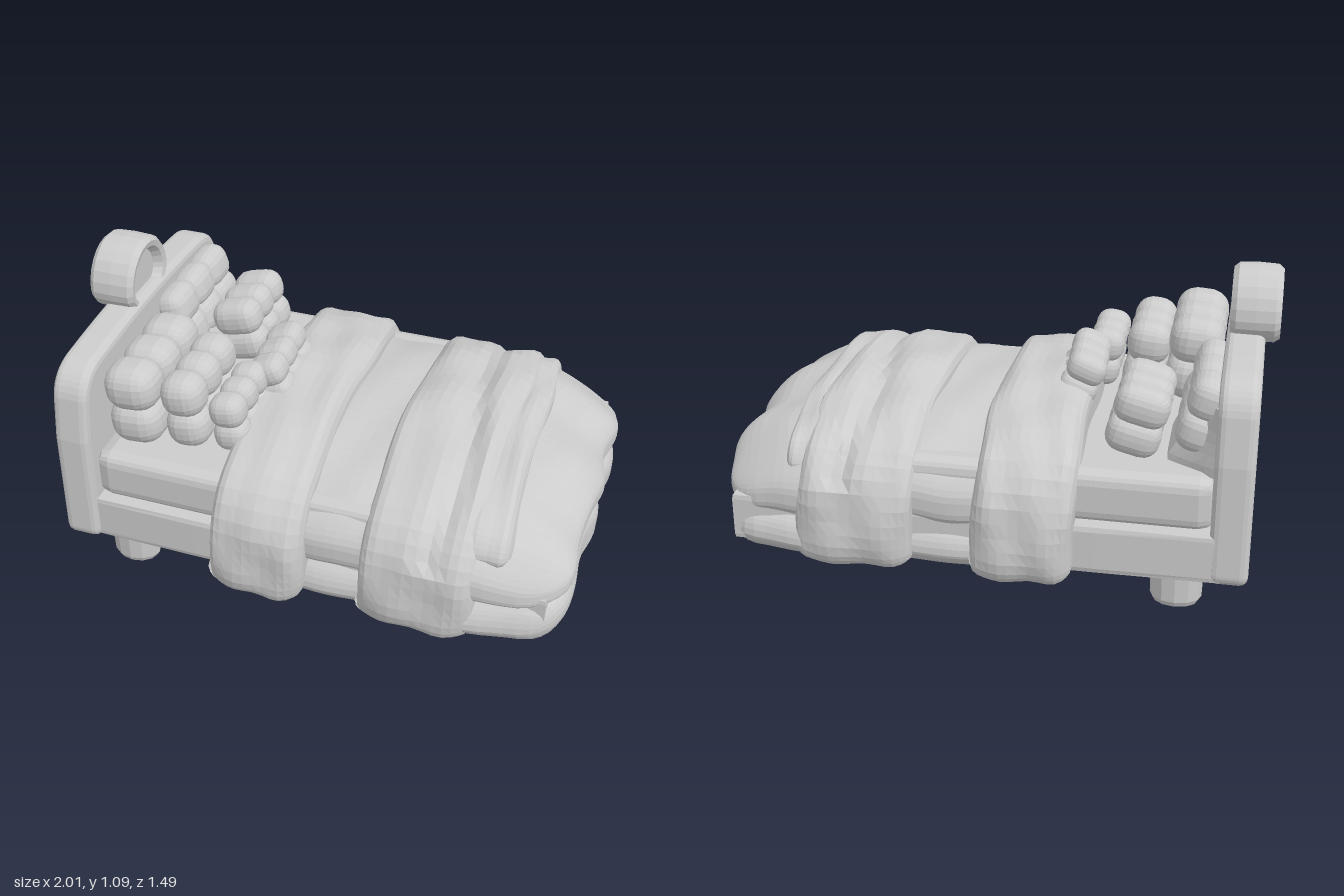
import * as THREE from 'three';
import { mergeVertices } from 'three/addons/utils/BufferGeometryUtils.js';

const grey = new THREE.MeshStandardMaterial({ color: 0xcccccc, flatShading: true });
const wave = (a, b) => Math.sin(a * 23 + b * 7) * 0.5 + Math.sin(a * 9 - b * 17 + 1) * 0.5;

function add(parent, name, geometry) {
  const mesh = new THREE.Mesh(geometry, grey);
  mesh.name = name;
  parent.add(mesh);
  return mesh;
}

// Moves every vertex of a geometry by a rule.
function reshape(g, rule) {
  const pos = g.attributes.position, p = new THREE.Vector3();
  for (let i = 0; i < pos.count; i++) {
    rule(p.fromBufferAttribute(pos, i));
    pos.setXYZ(i, p.x, p.y, p.z);
  }
  g.computeVertexNormals();
  return g;
}

// Rounded box between two corners; an optional rule then moves every vertex.
function softBox([x0, y0, z0], [x1, y1, z1], r, seg, rule = () => {}) {
  const half = new THREE.Vector3(x1 - x0, y1 - y0, z1 - z0).multiplyScalar(0.5);
  const centre = new THREE.Vector3(x0 + x1, y0 + y1, z0 + z1).multiplyScalar(0.5);
  const inner = half.clone().subScalar(r), outer = inner.clone().negate();
  const g = new THREE.BoxGeometry(half.x * 2, half.y * 2, half.z * 2, ...seg);
  g.deleteAttribute('uv');
  g.deleteAttribute('normal');
  return reshape(mergeVertices(g), p => {
    const c = p.clone().clamp(outer, inner);
    p.sub(c).setLength(r).add(c).add(centre);
    rule(p);
  });
}

// Cloth band: a mirrored (z, y) profile swept along x, with puffed, closed ends.
function band(x0, x1, half, { r, skew = 0, crease = 0 }) {
  const pts = half.map(([z, y]) => new THREE.Vector3(0, y, z));
  const mirrored = pts.slice(0, -1).reverse().map(p => new THREE.Vector3(0, p.y, -p.z));
  const curve = new THREE.CatmullRomCurve3([...pts, ...mirrored], true, 'centripetal');
  const n = 52, rows = 16, verts = [], index = [];
  for (let i = -1; i <= rows + 1; i++) {
    const t = Math.min(Math.max(i / rows, 0), 1);
    const u = Math.cos(t * Math.PI);
    const cap = i < 0 || i > rows;
    for (let j = 0; j < n; j++) {
      const p = curve.getPoint(j / n), tan = curve.getTangent(j / n);
      const groove = crease * Math.exp(-(((t - 0.58 - 0.06 * Math.sin(p.z * 5)) / 0.07) ** 2));
      const inset = r * (1 - Math.sqrt(Math.max(0, 1 - u ** 6))) + groove * (p.y > 0.4)
        + 0.008 * wave(p.z * 0.6 + p.y, t * 1.2);
      const x = (x0 + x1) / 2 - u * (x1 - x0) / 2 + skew * p.z + 0.007 * Math.sin(p.z * 8 + p.y * 6);
      if (cap) verts.push(x, 0.35, p.z * 0.5);
      else verts.push(x, p.y + tan.z * inset, p.z - tan.y * inset);
    }
  }
  for (let i = 0; i < rows + 2; i++) for (let j = 0; j < n; j++) {
    const k = (j + 1) % n, a = i * n + j, b = a + n, c = (i + 1) * n + k, d = i * n + k;
    index.push(a, b, d, b, c, d);
  }
  const g = new THREE.BufferGeometry();
  g.setAttribute('position', new THREE.Float32BufferAttribute(verts, 3));
  g.setIndex(index);
  g.computeVertexNormals();
  return g;
}

// Tufted pillow: two rows of plump, overlapping, squarish lobes.
function pillow(parent, name, { at, size: [w, h, d], cols, lean = 0, turn = 0 }) {
  const group = new THREE.Group();
  group.name = name;
  const pitch = d / (cols + 0.25);
  const half = [w * 0.5, h * 0.28, pitch * 0.625];
  const r = Math.min(...half) * 0.88;
  for (let row = 0; row < 2; row++) for (let c = 0; c < cols; c++) {
    const lobe = add(group, 'pillowLobe', softBox(half.map(v => -v), half, r, [6, 6, 6]));
    lobe.position.set(0, (row - 0.5) * h * 0.44, (c - (cols - 1) / 2) * pitch);
  }
  group.position.set(...at);
  group.rotation.set(0, turn, lean);
  parent.add(group);
}

export function createModel() {
  const bed = new THREE.Group();
  bed.name = 'bed';

  // Headboard with a gently arched top
  const s = new THREE.Shape();
  s.moveTo(-0.61, 0.15);
  s.quadraticCurveTo(-0.61, 0.13, -0.58, 0.13);
  s.lineTo(0.58, 0.13);
  s.quadraticCurveTo(0.61, 0.13, 0.61, 0.15);
  s.lineTo(0.6, 0.56);
  s.lineTo(0.575, 0.73);
  s.quadraticCurveTo(0.555, 0.81, 0.46, 0.82);
  s.quadraticCurveTo(0, 0.862, -0.46, 0.82);
  s.quadraticCurveTo(-0.555, 0.81, -0.575, 0.73);
  s.lineTo(-0.6, 0.56);
  s.closePath();
  const board = new THREE.ExtrudeGeometry(s, { depth: 0.08, bevelSize: 0.03, bevelThickness: 0.03, bevelSegments: 3, curveSegments: 8 });
  add(bed, 'headboard', board.rotateY(Math.PI / 2).translate(-0.92, 0, 0));

  // Round ornament with a recessed disc on both faces, flattened where it sits on the headboard
  const rim = [[0, -0.05], [0.108, -0.05], [0.125, -0.085], [0.148, -0.09], [0.165, -0.07],
    [0.168, 0], [0.165, 0.07], [0.148, 0.09], [0.125, 0.085], [0.108, 0.05], [0, 0.05]];
  const ornament = new THREE.LatheGeometry(rim.map(p => new THREE.Vector2(...p)), 24).rotateZ(-Math.PI / 2);
  reshape(ornament, p => { if (p.y < 0) p.y *= 0.7; });
  add(bed, 'headboardOrnament', ornament.translate(-0.91, 0.92, 0));

  // Frame, mattress and head-end legs
  add(bed, 'frame', softBox([-0.86, 0.11, -0.64], [0.93, 0.3, 0.62], 0.02, [4, 8, 8]));
  add(bed, 'mattress', softBox([-0.82, 0.29, -0.61], [0.5, 0.49, 0.59], 0.05, [24, 8, 24]));
  for (const z of [0.54, -0.56]) {
    const profile = [[0, 0], [0.08, 0], [0.092, 0.02], [0.096, 0.15], [0, 0.15]];
    const leg = add(bed, 'leg', new THREE.LatheGeometry(profile.map(p => new THREE.Vector2(...p)), 12));
    leg.scale.z = 0.74;
    leg.position.set(-0.7, 0, z);
  }

  // Quilt: two thick layers that bulge and wave towards the foot
  const ripple = p => {
    const f = THREE.MathUtils.smoothstep(p.x, 0.2, 0.75);
    const tip = THREE.MathUtils.smoothstep(p.x, 0.72, 1);
    p.x += f * (0.012 * Math.sin(p.z * 15 + 1) - 0.045 * (p.z / 0.66) ** 4 + 0.008 * wave(p.z, p.y));
    p.z *= 1 + 0.05 * f - 0.06 * tip + 0.012 * Math.sin(p.x * 14);
  };
  add(bed, 'quiltLowerLayer', softBox([-0.2, 0.075, -0.66], [0.99, 0.275, 0.66], 0.095, [26, 8, 36], p => {
    const edge = Math.abs(p.z) / 0.66;
    if (p.y < 0.11 && edge < 0.9 && p.x < 0.9) p.y = 0.108;
    if (p.y > 0.17) p.y += 0.03 * (1 - 2 * edge ** 2) + 0.009 * Math.sin(p.z * 14);
    ripple(p);
  }));
  add(bed, 'quiltUpperLayer', softBox([-0.2, 0.24, -0.63], [0.995, 0.565, 0.63], 0.13, [30, 10, 36], p => {
    const edge = Math.abs(p.z) / 0.63, up = (p.y - 0.24) / 0.325;
    const foot = THREE.MathUtils.clamp((p.x - 0.6) / 0.39, 0, 1);
    p.y -= up * (0.12 * foot ** 1.6 + 0.125 * edge ** 2.6) - 0.008 * wave(p.x, p.z);
    p.y += (1 - up) * (0.035 - 0.06 * edge ** 2) + 0.008 * foot * Math.sin(p.z * 14);
    p.z *= 1.03 - 0.05 * up * foot;
    ripple(p);
  }));

  // Folded blankets draped over both sides, and the loose lip in front of them
  const drape = [[0.6, 0.115], [0.65, 0.09], [0.7, 0.085], [0.73, 0.13], [0.735, 0.25], [0.71, 0.4],
    [0.61, 0.525], [0.4, 0.6], [0.2, 0.63], [0, 0.645]];
  add(bed, 'headBlanketFold', band(-0.335, 0.03, drape, { r: 0.08, skew: 0.012 }));
  const second = drape.map(([z, y]) => [z * 0.975, y - (y > 0.5 ? 0.018 : 0.005)]);
  add(bed, 'footBlanketFold', band(0.24, 0.67, second, { r: 0.07, skew: 0.005, crease: 0.028 }));
  const lip = [[0.45, 0.38], [0.57, 0.38], [0.62, 0.42], [0.57, 0.5], [0.36, 0.555], [0, 0.585]];
  add(bed, 'blanketLip', band(0.5, 0.755, lip, { r: 0.06, skew: 0.035 }));

  // Wedge under the far pillow, narrowing upwards and forwards
  add(bed, 'pillowWedge', softBox([-0.82, 0.47, -0.56], [-0.63, 0.74, -0.02], 0.02, [4, 6, 6], p => {
    const front = (p.x + 0.82) / 0.19;
    p.x -= front * 0.13 * Math.max(0, (p.y - 0.5) / 0.24);
    p.z = -0.3 + (p.z + 0.3) * (1 - 0.45 * front);
  }));

  // Pillows
  const pillows = [
    ['largeLeftPillow', { at: [-0.69, 0.665, 0.275], size: [0.21, 0.33, 0.51], cols: 3, lean: 0.08 }],
    ['largeRightPillow', { at: [-0.755, 0.68, -0.275], size: [0.14, 0.28, 0.5], cols: 3, lean: 0.3 }],
    ['mediumLeftPillow', { at: [-0.505, 0.645, 0.265], size: [0.17, 0.3, 0.43], cols: 3, lean: 0.12 }],
    ['mediumRightPillow', { at: [-0.53, 0.625, -0.31], size: [0.2, 0.26, 0.37], cols: 3, lean: 0.25 }],
    ['smallLeftPillow', { at: [-0.335, 0.62, 0.285], size: [0.14, 0.23, 0.34], cols: 3, lean: 0.15 }],
    ['smallMiddlePillow', { at: [-0.28, 0.64, 0.005], size: [0.15, 0.2, 0.36], cols: 3, lean: 0.4, turn: 0.06 }],
  ];
  for (const [name, options] of pillows) pillow(bed, name, options);

  return bed;
}
